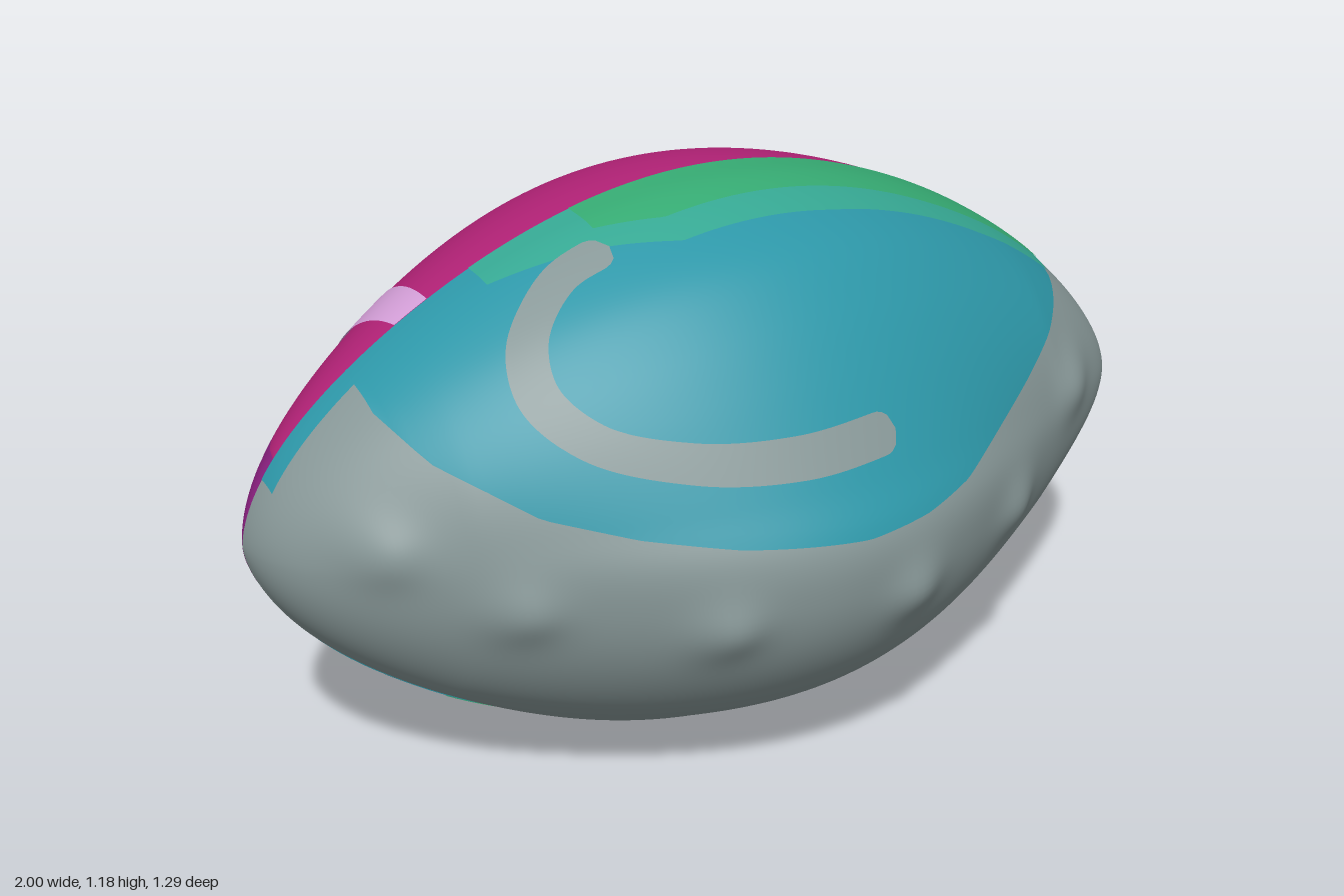
import * as THREE from 'three';

const CY = 0.59, SEAM = -0.03, HALF_H = 0.58;

const mat = (name, color) => {
  const m = new THREE.MeshStandardMaterial({ color, side: THREE.DoubleSide });
  m.name = name;
  return m;
};

// Front cross-section at mid length as [z, y], bottom to top
const section = new THREE.CatmullRomCurve3([
  [-0.03, 0.01], [0.12, 0.002], [0.3, 0.1], [0.45, 0.205], [0.555, 0.32], [0.61, 0.42], [0.633, 0.52], [0.628, 0.62],
  [0.572, 0.72], [0.46, 0.9], [0.38, 1.0], [0.29, 1.08], [0.18, 1.13], [0.06, 1.164], [-0.03, 1.17],
].map(([z, y]) => new THREE.Vector3((z - SEAM) / 0.675, (y - CY) / HALF_H, 0)));

// Unit front section at x, rounding out toward the ends, fuller below
function unitFront(x, t) {
  const p = section.getPointAt(THREE.MathUtils.clamp(t, 0, 1));
  const round = Math.pow(Math.max(0, 1 - p.y * p.y), p.y < 0 ? 0.42 : 0.5);
  return { y: p.y, z: THREE.MathUtils.lerp(p.x, Math.max(p.x, round), 0.9 * Math.min(1, 2.2 * x * x)) };
}

// Lengthwise profiles: tapering powers of a circle
const taper = (x, a, b) => Math.pow(Math.max(0, 1 - x * x), (a - b * x * x) / 2);
const height = x => HALF_H * taper(x, 1.62, 0.38);
const backDepth = x => 0.615 * taper(x, 2.4, 0.8);
const frontDepth = x => 0.675 * taper(x, 2.45, x > 0 ? 1.6 : 1.25);

// Knobs along the front belly
const knobs = [[-0.83, 0.65], [-0.62, 0.53], [-0.28, 0.48], [0.12, 0.48], [0.47, 0.51], [0.74, 0.66]];

// Surface points: x along the body, t from the bottom seam (0) to the top seam (1)
function backPoint(x, t) {
  const a = (t - 0.5) * Math.PI;
  return [x, CY + height(x) * Math.sin(a), SEAM - backDepth(x) * Math.cos(a)];
}
function frontPoint(x, t) {
  const p = unitFront(x, t);
  const y = CY + height(x) * p.y;
  let z = SEAM + frontDepth(x) * p.z;
  for (const [kx, ky] of knobs) {
    z += 0.026 * Math.exp(-((x - kx) ** 2 + (y - ky) ** 2) / 0.0042) * Math.min(1, p.z * 2);
  }
  return [x, y, z];
}

// Find t on the front where a test turns true
function search(x, lo, hi, test) {
  for (let i = 0; i < 22; i++) {
    const m = (lo + hi) / 2;
    if (test(unitFront(x, m))) hi = m; else lo = m;
  }
  return (lo + hi) / 2;
}
const tAtY = (x, y) => search(x, 0.35, 1, p => CY + height(x) * p.y > y);
const tAtZTop = (x, z) => search(x, 0.55, 1, p => SEAM + frontDepth(x) * p.z < z);
const tAtZBottom = (x, z) => search(x, 0, 0.4, p => SEAM + frontDepth(x) * p.z > z);

// Piecewise linear border curve
const border = pts => x => {
  if (x <= pts[0][0]) return pts[0][1];
  for (let i = 1; i < pts.length; i++) {
    const [a, b] = [pts[i - 1], pts[i]];
    if (x <= b[0]) return THREE.MathUtils.lerp(a[1], b[1], (x - a[0]) / (b[0] - a[0]));
  }
  return pts[pts.length - 1][1];
};

// Grid of surface points; rule(s, t) gives [x, surface t, lift]
function patch(name, material, front, nu, nv, rule) {
  const pos = [], idx = [];
  for (let i = 0; i <= nu; i++) {
    for (let j = 0; j <= nv; j++) {
      const [x, t, lift = 0] = rule(i / nu, j / nv);
      const [, y, z] = front ? frontPoint(x, t) : backPoint(x, t);
      const r = Math.hypot(y - CY, z - SEAM) || 1;
      pos.push(x, y + lift * (y - CY) / r, z + lift * (z - SEAM) / r);
      if (i < nu && j < nv) {
        const a = i * (nv + 1) + j, b = a + nv + 1;
        if (front) idx.push(a, b, b + 1, a, b + 1, a + 1);
        else idx.push(a, b + 1, b, a, a + 1, b + 1);
      }
    }
  }
  const g = new THREE.BufferGeometry();
  g.setAttribute('position', new THREE.Float32BufferAttribute(pos, 3));
  g.setIndex(idx);
  g.computeVertexNormals();
  const mesh = new THREE.Mesh(g, material);
  mesh.name = name;
  return mesh;
}

export function createModel() {
  const group = new THREE.Group();
  group.name = 'ball';
  const grey = mat('grey', 0x889898), teal = mat('teal', 0x2d97a8);
  const green = mat('green', 0x36ab73), seaGreen = mat('seaGreen', 0x36a893);
  const magenta = mat('magenta', 0xb32277), purple = mat('purple', 0x8c2081), pink = mat('pink', 0xd8a2dc);
  const add = (...args) => group.add(patch(...args));
  const along = s => Math.sin((s - 0.5) * Math.PI);
  const lerp = THREE.MathUtils.lerp;

  // Back half: purple below, magenta above
  const split = x => {
    const a = Math.asin(Math.min(1, 0.17 / Math.max(height(x), 0.001)));
    return 0.5 + Math.max(Math.PI / 6, a) / Math.PI;
  };
  add('backLower', purple, false, 120, 60, (s, t) => [along(s), t * split(along(s))]);
  add('backUpper', magenta, false, 120, 30, (s, t) => [along(s), lerp(split(along(s)), 1, t)]);

  // Stripes around the back half
  for (const side of [-1, 1]) {
    add('stripe', pink, false, 8, 70, (s, t) => {
      const c = Math.sin(t * Math.PI);
      const x = lerp(0.59 - 0.016 * c, 0.66 + 0.045 * c, side > 0 ? s : 1 - s);
      return [side * x, t, 0.003];
    });
  }

  // Raised lacing: one broad spine and its tapering crossbars
  const dome = v => Math.sqrt(Math.max(0, Math.sin(v * Math.PI)));
  const laceT = 0.666;
  add('laceSpine', pink, false, 60, 12, (s, t) =>
    [lerp(-0.46, 0.51, s), laceT + (t - 0.5) * 0.085, -0.005 + 0.033 * dome(s) * dome(t)]);
  for (let i = 0; i < 7; i++) {
    const cx = -0.4 + i * 0.142;
    add('laceBar', pink, false, 10, 20, (s, t) => {
      const width = 0.095 - 0.05 * Math.abs(2 * t - 1);
      return [cx + (s - 0.5) * width + (t - 0.5) * 0.03, laceT + (t - 0.5) * 0.13, -0.005 + 0.039 * dome(s) * dome(t)];
    });
  }

  // Front half
  add('frontShell', grey, true, 160, 110, (s, t) => [along(s), t]);

  // Strip from a border curve up to the top seam
  const cap = (name, m, x0, x1, edge, lift, nv) => add(name, m, true, 90, nv, (s, t) => {
    const x = lerp(x0, x1, s);
    return [x, lerp(edge(x), 1, t), lift];
  });
  const greyLine = border([[-0.77, 0.87], [-0.72, 0.81], [-0.65, 0.77], [-0.57, 0.72], [-0.42, 0.68], [-0.25, 0.652],
    [0, 0.63], [0.15, 0.637], [0.28, 0.655], [0.55, 0.74], [0.82, 0.835]]);
  const seaLine = border([[-0.5, 0.05], [-0.3, 0.12], [-0.15, 0.19], [0.2, 0.185], [0.6, 0.15], [0.82, 0.12]]);
  const greenLine = border([[-0.28, 0.07], [-0.15, 0.12], [0.5, 0.1], [0.82, 0.08]]);
  cap('tealPanel', teal, -0.77, 0.82, x => tAtY(x, greyLine(x)), 0.002, 50);
  cap('tealSeamTip', teal, -0.95, -0.76, x => tAtZTop(x, 0.02), 0.002, 4);
  cap('seaGreenBand', seaGreen, -0.5, 0.82, x => tAtZTop(x, seaLine(x)), 0.0035, 12);
  cap('greenBand', green, -0.28, 0.82, x => tAtZTop(x, greenLine(x)), 0.005, 8);

  // Narrow bands beside the bottom seam
  const under = border([[-0.97, -0.03], [-0.75, 0.06], [-0.65, 0.07], [0.65, 0.07], [0.75, 0.06], [0.97, -0.03]]);
  const keel = (name, m, reach, lift) => add(name, m, true, 80, 6, (s, t) => {
    const x = lerp(-reach, reach, s);
    return [x, t * tAtZBottom(x, under(x)), lift];
  });
  keel('tealKeel', teal, 0.97, 0.002);
  keel('greenKeel', green, 0.64, 0.0035);

  // Curved grey mark on the teal panel, laid out in unrolled surface space
  const unroll = 1.6;
  const path = new THREE.CatmullRomCurve3([[-0.28, 1.108], [-0.4, 1.065], [-0.5, 0.99], [-0.52, 0.91], [-0.45, 0.84],
    [-0.3, 0.8], [-0.1, 0.785], [0.12, 0.79]].map(([x, y]) => new THREE.Vector3(x, tAtY(x, y) * unroll, 0)));
  add('curvedMark', grey, true, 100, 6, (s, t) => {
    const p = path.getPointAt(s), d = path.getTangentAt(s);
    const end = Math.min(1, Math.min(s, 1 - s) / 0.035);
    const w = (t - 0.5) * 0.074 * Math.sqrt(1 - (1 - end) ** 2);
    return [p.x - d.y * w, (p.y + d.x * w) / unroll, 0.006];
  });

  return group;
}
